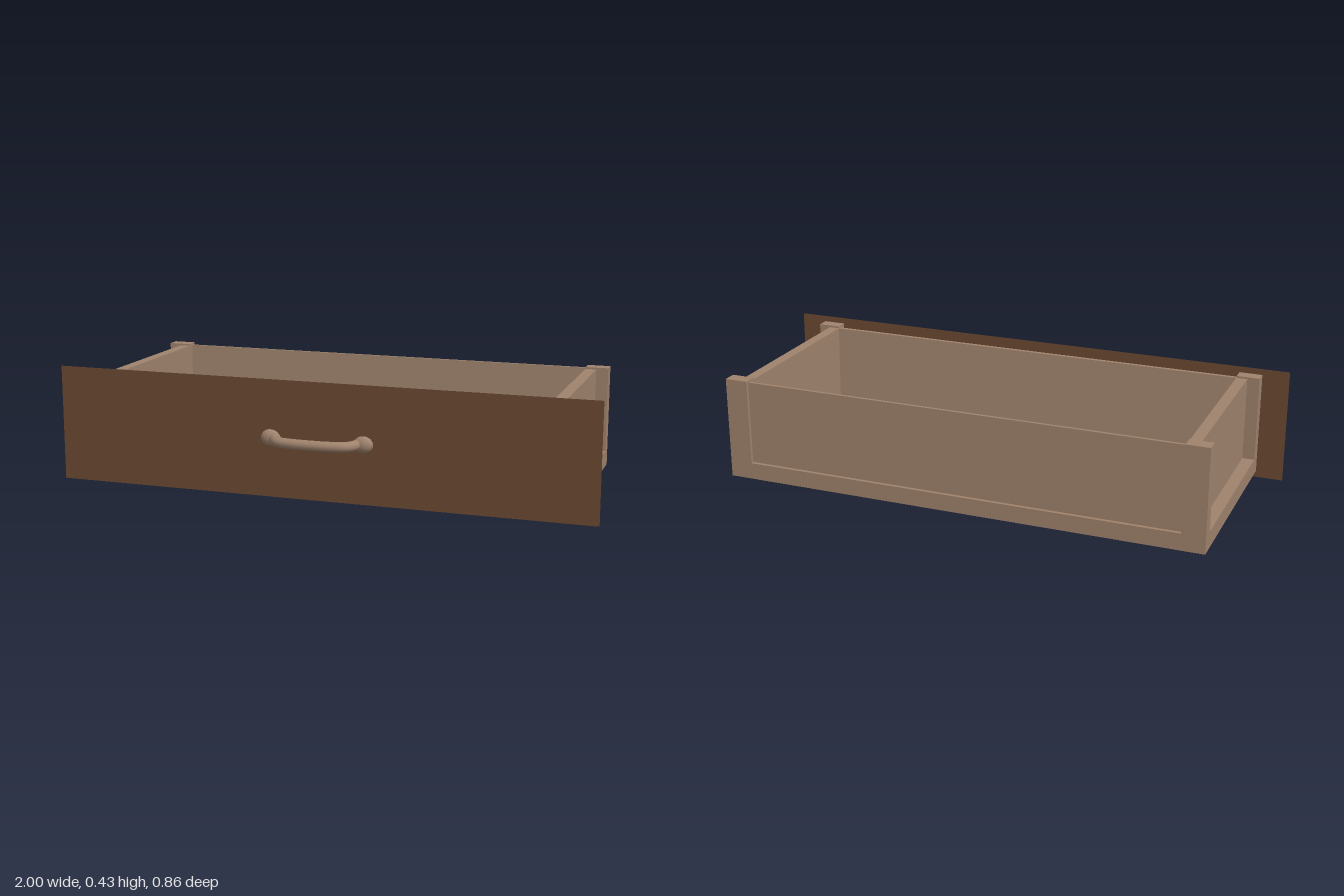
import * as THREE from 'three';

const wood = new THREE.MeshStandardMaterial({ color: 0x9f836d });
wood.name = 'lightWood';
const darkWood = new THREE.MeshStandardMaterial({ color: 0x6b4832, side: THREE.DoubleSide });
darkWood.name = 'darkWood';

function add(parent, name, geometry, material, x = 0, y = 0, z = 0) {
  const mesh = new THREE.Mesh(geometry, material);
  mesh.name = name;
  mesh.position.set(x, y, z);
  parent.add(mesh);
  return mesh;
}

// Skins a stack of rectangular rings [halfWidth, y, back, front] and caps both ends
function loftRectangles(rings) {
  const corners = rings.map(([w, y, z0, z1]) => [[w, y, z1], [w, y, z0], [-w, y, z0], [-w, y, z1]]);
  const out = [];
  const quad = (a, b, c, d) => [a, b, c, a, c, d].forEach((p) => out.push(...p));
  for (let r = 0; r < corners.length - 1; r++) {
    const low = corners[r], high = corners[r + 1];
    for (let i = 0; i < 4; i++) {
      const j = (i + 1) % 4;
      quad(low[i], low[j], high[j], high[i]);
    }
  }
  const first = corners[0], last = corners[corners.length - 1];
  quad(first[3], first[2], first[1], first[0]);
  quad(...last);
  const geometry = new THREE.BufferGeometry();
  geometry.setAttribute('position', new THREE.Float32BufferAttribute(out, 3));
  geometry.computeVertexNormals();
  return geometry;
}

export function createModel() {
  const drawer = new THREE.Group();
  drawer.name = 'drawer';

  // Tray: sunken underside, base rail, recessed walls, sloping inner faces, floor
  add(drawer, 'tray', loftRectangles([
    [0.815, 0.03, -0.385, 0.285],
    [0.815, 0.025, -0.385, 0.285],
    [0.9, 0.025, -0.43, 0.335],
    [0.9, 0.087, -0.43, 0.335],
    [0.855, 0.087, -0.417, 0.302],
    [0.855, 0.398, -0.417, 0.302],
    [0.814, 0.398, -0.406, 0.287],
    [0.807, 0.04, -0.385, 0.265],
  ]), wood);

  // Corner posts
  for (const side of [-1, 1]) {
    for (const [z, end] of [[-0.405, 'back'], [0.3115, 'front']]) {
      const depth = end === 'back' ? 0.05 : 0.046;
      add(drawer, end + 'Post', new THREE.BoxGeometry(0.085, 0.319, depth), wood, side * 0.8575, 0.2455, z);
    }
  }

  // Thin front panel
  add(drawer, 'frontPanel', new THREE.PlaneGeometry(2, 0.427), darkWood, 0, 0.2135, 0.336);

  // Handle: bowed grip with rounded mounts
  const handle = new THREE.Group();
  handle.name = 'handle';
  handle.position.set(0, 0.217, 0);
  drawer.add(handle);
  const path = new THREE.CatmullRomCurve3([
    [-0.152, 0.335], [-0.148, 0.365], [-0.125, 0.394], [-0.07, 0.407], [0, 0.41],
    [0.07, 0.407], [0.125, 0.394], [0.148, 0.365], [0.152, 0.335],
  ].map(([x, z]) => new THREE.Vector3(x, 0, z)));
  add(handle, 'grip', new THREE.TubeGeometry(path, 48, 0.0185, 14), wood);
  for (const side of [-1, 1]) {
    const mount = add(handle, 'handleMount', new THREE.SphereGeometry(1, 24, 16), wood, side * 0.173, 0, 0.336);
    mount.scale.set(0.036, 0.03, 0.023);
  }
  return drawer;
}
